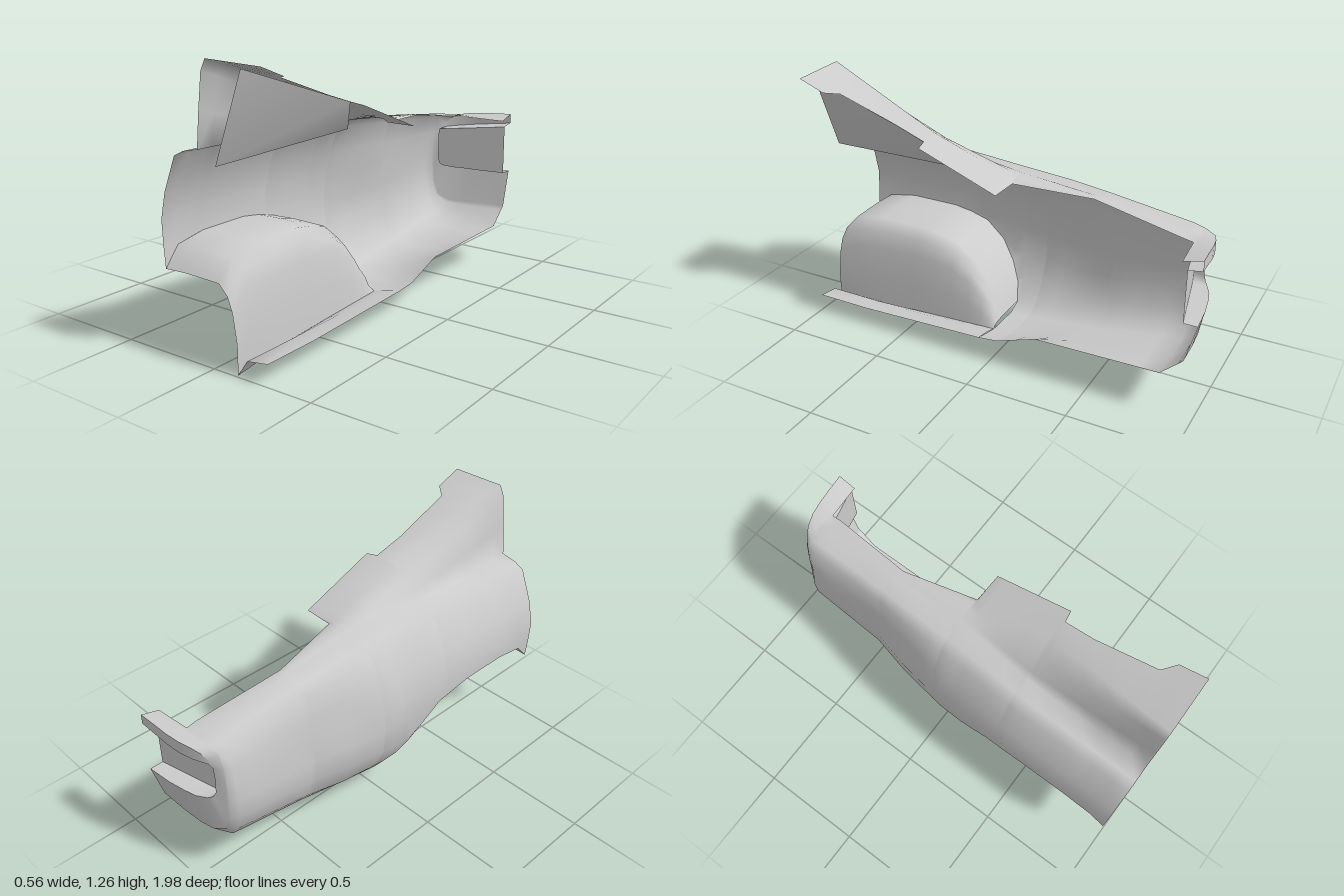
import * as THREE from 'three';
import { mergeGeometries, mergeVertices } from 'three/addons/utils/BufferGeometryUtils.js';

// Tables: each row is [z, x, y, x, y, ...], front to back.
// Free inner edge: roof, rear window cut-out, deck, luggage opening.
const EDGE = [[0.98, 0.28, 1.25], [0.85, 0.28, 1.2], [0.8, 0.22, 1.185], [0.5, 0.21, 1.08], [0.35, 0.22, 1.03],
  [0.34, 0.28, 1.02], [-0.05, 0.28, 0.87], [-0.055, 0.13, 0.87], [-0.42, 0.05, 0.84], [-0.85, 0.1, 0.772]];
// Roof shoulder and sail panel
const ROOF = [
  [0.98, 0, 1.26, -0.025, 1.21, -0.045, 1.05],
  [0.35, 0.12, 1.038, 0.03, 0.985, -0.02, 0.925],
  [-0.05, 0.11, 0.885, 0.06, 0.888, 0.02, 0.882],
  [-0.42, 0.04, 0.842, 0.03, 0.842, 0.015, 0.842],
  [-0.85, 0.08, 0.774, 0.06, 0.776, 0.04, 0.776]];
// Flank from the sail panel base down to the lower edge
const SIDE = [
  [0.98, -0.06, 0.9, -0.14, 0.885, -0.19, 0.86, -0.255, 0.7, -0.282, 0.58, -0.277, 0.47, -0.265, 0.33, -0.2, 0.2, -0.13, 0.1],
  [0.4, -0.05, 0.89, -0.13, 0.88, -0.185, 0.85, -0.25, 0.7, -0.28, 0.58, -0.275, 0.47, -0.262, 0.33, -0.2, 0.2, -0.13, 0.1],
  [0, -0.01, 0.878, -0.1, 0.86, -0.155, 0.82, -0.215, 0.69, -0.25, 0.56, -0.255, 0.44, -0.245, 0.31, -0.19, 0.19, -0.12, 0.1],
  [-0.25, 0.0, 0.852, -0.09, 0.845, -0.14, 0.8, -0.17, 0.68, -0.19, 0.56, -0.215, 0.44, -0.21, 0.32, -0.165, 0.2, -0.1, 0.13],
  [-0.45, 0.005, 0.837, -0.08, 0.825, -0.12, 0.785, -0.145, 0.67, -0.152, 0.56, -0.168, 0.45, -0.165, 0.34, -0.14, 0.23, -0.09, 0.165],
  [-0.85, 0.02, 0.775, -0.06, 0.775, -0.1, 0.75, -0.135, 0.66, -0.142, 0.58, -0.158, 0.48, -0.152, 0.38, -0.125, 0.29, -0.085, 0.23]];
const BELLY = [
  [0.05, -0.05, 0.072, 0.13, 0.075, 0.28, 0.11],
  [-0.05, -0.05, 0.075, 0.13, 0.08, 0.28, 0.12],
  [-0.25, -0.04, 0.1, 0.12, 0.11, 0.28, 0.19],
  [-0.85, -0.02, 0.2, 0.12, 0.19, 0.28, 0.2]];
const FLOOR = [
  [0.98, 0.12, 0, 0.17, 0.075, 0.28, 0.092],
  [0.7, 0.13, 0.045, 0.18, 0.08, 0.28, 0.09],
  [0.05, 0.13, 0.075, 0.2, 0.095, 0.28, 0.11]];
// Wheel arch outline [z, y]
const ARCH = [[0.98, 0.37], [0.9, 0.455], [0.75, 0.48], [0.5, 0.48], [0.4, 0.465], [0.3, 0.44], [0.2, 0.36], [0.13, 0.265], [0.08, 0.18], [0.05, 0.1]];

// Tail surround rows [x, y, z], from the luggage opening round to the bumper centre
const TAIL_MID = [[0.28, 0.76, -0.91], [0.2, 0.762, -0.915], [0.12, 0.765, -0.915], [0.06, 0.767, -0.915],
  [0, 0.765, -0.91], [-0.06, 0.76, -0.9], [-0.1, 0.735, -0.89], [-0.115, 0.66, -0.885],
  [-0.12, 0.58, -0.885], [-0.125, 0.47, -0.89], [-0.12, 0.38, -0.89], [-0.1, 0.31, -0.9],
  [-0.04, 0.28, -0.92], [0.03, 0.28, -0.935], [0.14, 0.285, -0.945], [0.28, 0.29, -0.95]];
const TAIL_RIM = [[0.28, 0.785, -1], [0.2, 0.782, -0.995], [0.12, 0.775, -0.99], [0.05, 0.77, -0.98],
  [-0.01, 0.76, -0.96], [-0.05, 0.74, -0.94], [-0.075, 0.71, -0.925], [-0.08, 0.66, -0.91],
  [-0.08, 0.58, -0.905], [-0.08, 0.52, -0.91], [-0.07, 0.495, -0.92], [-0.05, 0.485, -0.935],
  [0, 0.48, -0.96], [0.06, 0.48, -0.975], [0.15, 0.477, -0.99], [0.28, 0.475, -1]];

// Interpolate a table at z, giving [x, y, z] points
function values(table, z) {
  let k = 0;
  while (k < table.length - 2 && table[k + 1][0] > z) k++;
  const a = table[k], b = table[k + 1];
  const t = THREE.MathUtils.clamp((a[0] - z) / (a[0] - b[0]), 0, 1);
  return a.slice(1).map((v, i) => v + (b[i + 1] - v) * t);
}
function points(table, z) {
  const v = values(table, z), out = [];
  for (let i = 0; i < v.length; i += 2) out.push([v[i], v[i + 1], z]);
  return out;
}

// Flank section, cut off at the wheel arch
function flank(z) {
  const p = points(SIDE, z);
  if (z <= 0.05) return p;
  const y = values(ARCH, z)[0];
  const k = p.findIndex(q => q[1] < y);
  if (k < 1) return p;
  const t = (p[k - 1][1] - y) / (p[k - 1][1] - p[k][1]);
  const cut = [p[k - 1][0] + (p[k][0] - p[k - 1][0]) * t, y, z];
  return p.map((q, i) => (i < k ? q : cut));
}
const upper = z => [...points(EDGE, z), ...points(ROOF, z), ...flank(z)];
const belly = z => [flank(z).at(-1), ...points(BELLY, z)];

// Skin between successive rows of points
function loft(rows) {
  const n = rows[0].length, index = [];
  for (let r = 0; r < rows.length - 1; r++) for (let i = 0; i < n - 1; i++) {
    const a = r * n + i, b = a + n;
    index.push(a, b, a + 1, a + 1, b, b + 1);
  }
  const g = new THREE.BufferGeometry();
  g.setAttribute('position', new THREE.Float32BufferAttribute(rows.flat(2), 3));
  g.setIndex(index);
  return g;
}

export function createModel() {
  const group = new THREE.Group();
  const material = new THREE.MeshStandardMaterial({ color: 0xcccccc, side: THREE.DoubleSide });
  const add = (name, ...parts) => {
    const g = mergeVertices(mergeGeometries(parts), 1e-4);
    g.computeVertexNormals();
    const mesh = new THREE.Mesh(g, material);
    mesh.name = name;
    group.add(mesh);
  };

  // Outer skin: roof, flank, belly and tail surround
  const zs = [0.98, 0.9, 0.85, 0.8, 0.75, 0.62, 0.5, 0.4, 0.35, 0.34, 0.3, 0.2, 0.13, 0.08, 0.05,
    0, -0.05, -0.055, -0.15, -0.25, -0.35, -0.42, -0.45, -0.55, -0.65, -0.75, -0.85];
  const ring = [...upper(-0.85), ...belly(-0.85).slice(1)];
  const beforeLip = ring.map((p, i) => p.map((v, c) =>
    (i < 4 && c === 0 ? v : v + (TAIL_MID[i][c] - v) * 0.8)));
  add('bodyShell',
    loft(zs.map(upper)),
    loft(zs.filter(z => z <= 0.05).map(belly)),
    loft([ring, beforeLip, TAIL_MID, TAIL_RIM]));

  // Floor strip beside the wheel
  add('floorStrip', loft([0.98, 0.7, 0.4, 0.05].map(z => points(FLOOR, z))));

  // Wheel arch liner: roof of the arch, rounded into the inner wall
  add('wheelArchLiner', loft(ARCH.map(([z, y]) => {
    const outer = flank(z).at(-1), foot = points(FLOOR, z)[0];
    const drop = y - foot[1];
    const k = Math.min(1, drop / 0.3);
    return [outer, [-0.15 * k - 0.05 * (1 - k), y + 0.005 * k, z], [0.03, y, z],
      [0.075, y - drop * 0.12, z], [0.1, y - drop * 0.3, z], [0.12, y - drop * 0.65, z], foot];
  })));

  // Tail recess: lip, walls and back plate
  const lip = TAIL_RIM.map(([x, y, z]) => [x, Math.min(y, 0.7 + 0.13 * x), z]);
  const back = lip.map(([x, y]) => [x, Math.min(y, 0.695 + 0.11 * x), -0.86 - 0.075 * (x + 0.08) / 0.36]);
  add('tailLip', loft([TAIL_RIM, lip]));
  add('recessWalls', loft([lip, back]));
  add('recessPlate', loft([back.slice(0, 8), back.slice(8).reverse()]));

  // Flat inner panel behind the sail panel
  add('innerSailPanel', loft([
    [[0.18, 1.235, 0.98], [0.035, 0.845, 0.98]],
    [[0.215, 1.03, 0.35], [0.09, 0.875, 0.2]]]));

  // Centre on x and z, stand on y = 0
  const box = new THREE.Box3().setFromObject(group);
  const c = box.getCenter(new THREE.Vector3());
  group.children.forEach(m => m.geometry.translate(-c.x, -box.min.y, -c.z));
  return group;
}
